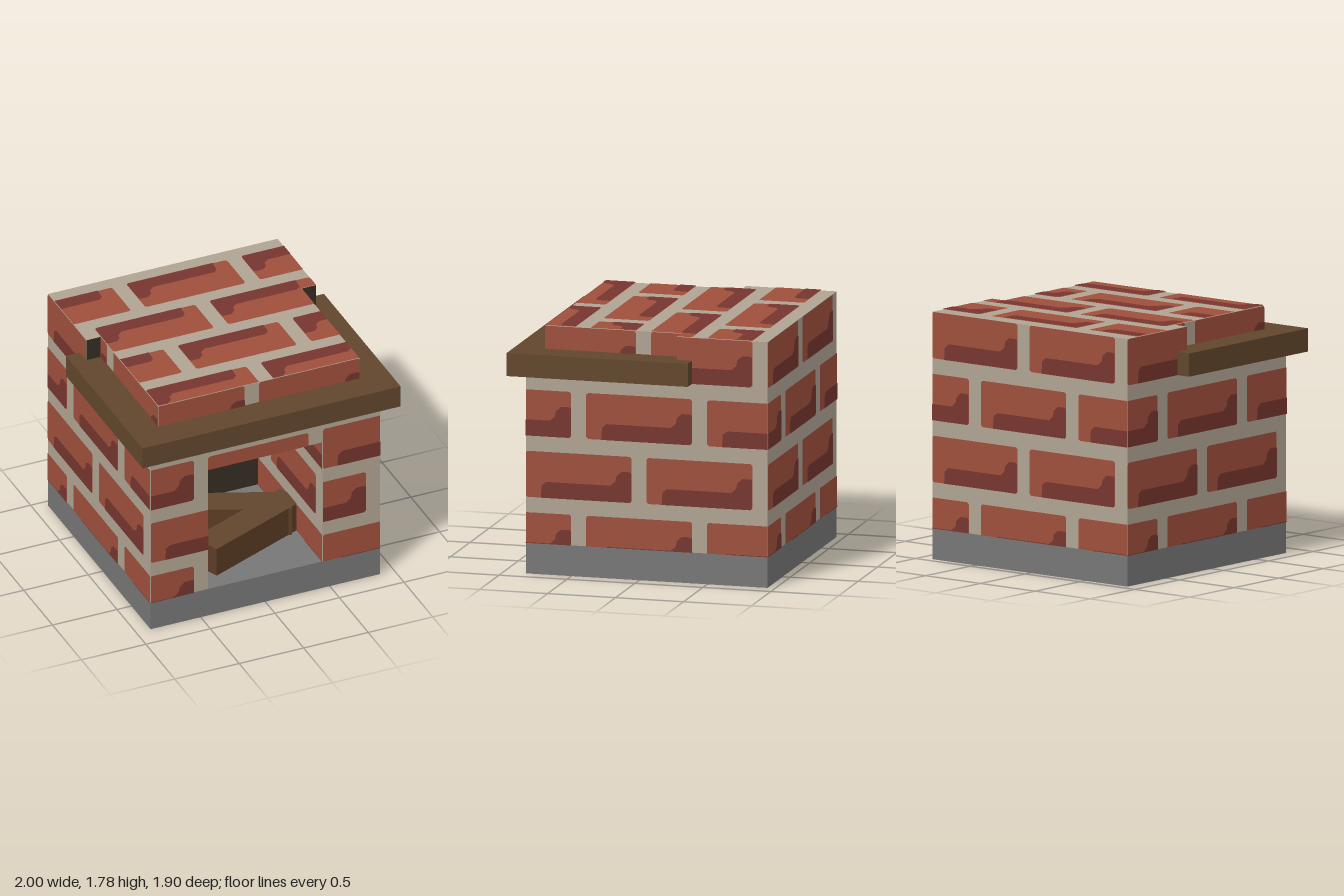
import * as THREE from 'three';
import { mergeGeometries } from 'three/addons/utils/BufferGeometryUtils.js';

const mat = (name, color) => {
  const m = new THREE.MeshStandardMaterial({ color });
  m.name = name;
  return m;
};

// Cuts a polygon to the rectangle [s0, s1, t0, t1]
function clip(points, [s0, s1, t0, t1]) {
  for (const [axis, limit, sign] of [[0, s0, 1], [0, s1, -1], [1, t0, 1], [1, t1, -1]]) {
    const out = [];
    points.forEach((p, i) => {
      const q = points[(i + 1) % points.length];
      const dp = sign * (p[axis] - limit), dq = sign * (q[axis] - limit);
      if (dp >= 0) out.push(p);
      if ((dp > 0 && dq < 0) || (dp < 0 && dq > 0)) {
        const k = dp / (dp - dq);
        out.push([p[0] + (q[0] - p[0]) * k, p[1] + (q[1] - p[1]) * k]);
      }
    });
    points = out;
  }
  return points;
}

// One brick (7 x 3) with clipped corners, and its L-shaped darker patch
const BRICK = [[0.12, 0], [6.88, 0], [7, 0.12], [7, 2.88], [6.88, 3], [0.12, 3], [0, 2.88], [0, 0.12]];
const PATCH = [[1, 0], [6.88, 0], [7, 0.12], [7, 1.9], [6.9, 2], [6.35, 2], [6, 1.7], [5.95, 1.35],
  [5.6, 1.05], [1.35, 1.05], [1.05, 0.8]];

export function createModel() {
  const mortar = mat('mortar', 0xb0a493);
  const brick = mat('brick', 0x9e4f3b);
  const darkBrick = mat('darkBrick', 0x76352e);
  const soot = mat('soot', 0x352d22);
  const stone = mat('stone', 0x767676);
  const oak = mat('oak', 0x61462c);
  const bark = mat('bark', 0x5c3d25);

  const model = new THREE.Group();
  const add = (parent, name, geometry, material, x = 0, y = 0, z = 0) => {
    const mesh = new THREE.Mesh(geometry, material);
    mesh.name = name;
    mesh.position.set(x, y, z);
    parent.add(mesh);
    return mesh;
  };

  // Flat brickwork: rectangles of a 16 x 16 running bond, placed by its lower left corner
  const X = new THREE.Vector3(1, 0, 0), Y = new THREE.Vector3(0, 1, 0), Z = new THREE.Vector3(0, 0, 1);
  const minus = (v) => v.clone().negate();
  function brickwork(name, right, up, origin, rects) {
    const layers = [[], [], []];
    const put = (layer, polygon) => {
      if (polygon.length < 3) return;
      const shape = new THREE.Shape(polygon.map((p) => new THREE.Vector2(p[0], p[1])));
      layers[layer].push(new THREE.ShapeGeometry(shape).translate(0, 0, layer * 0.03));
    };
    for (const rect of rects) {
      const [s0, s1, t0, t1] = rect;
      put(0, [[s0, t0], [s1, t0], [s1, t1], [s0, t1]]);
      for (let row = 0; row < 4; row++) {
        for (let col = 0; col < 3; col++) {
          const s = col * 8 - (row % 2 ? 0 : 4), t = row * 4 + 1;
          if (s >= s1 || s + 7 <= s0 || t >= t1 || t + 3 <= t0) continue;
          const place = (points) => clip(points.map((p) => [p[0] + s, p[1] + t]), rect);
          put(1, place(BRICK));
          put(2, place(PATCH));
        }
      }
    }
    const wall = new THREE.Group();
    wall.name = name;
    wall.quaternion.setFromRotationMatrix(
      new THREE.Matrix4().makeBasis(right, up, right.clone().cross(up)));
    wall.position.set(...origin);
    ['Mortar', 'Bricks', 'BrickPatches'].forEach((part, i) => {
      if (layers[i].length) add(wall, name + part, mergeGeometries(layers[i]), [mortar, brick, darkBrick][i]);
    });
    model.add(wall);
  }

  // Outer walls
  brickwork('frontWall', X, Y, [-8, 0, 7.5], [[0, 4, 2, 13], [12, 16, 2, 13], [4, 12, 11, 13]]);
  brickwork('leftWall', minus(Z), Y, [8, 0, 7.5], [[0, 16, 2, 13], [10, 16, 13, 16]]);
  brickwork('rightWall', Z, Y, [-8, 0, -8.5], [[0, 16, 2, 13], [0, 6, 13, 16]]);
  brickwork('backWall', minus(X), Y, [8, 0, -8.5], [[0, 16, 2, 16]]);

  // Chimney breast above the mantel
  brickwork('chimneyFront', X, Y, [-8, 0, 6.5], [[1, 15, 13, 16]]);
  brickwork('chimneyLeft', minus(Z), Y, [7, 0, 7.5], [[1, 10, 13, 16]]);
  brickwork('chimneyRight', Z, Y, [-7, 0, -8.5], [[6, 15, 13, 16]]);
  brickwork('chimneyTop', minus(X), Z, [8, 16, -8.5], [[0, 16, 0, 6], [1, 15, 6, 15]]);

  // Firebox lining
  brickwork('fireboxRightSide', minus(Z), Y, [-4, 0, 7.5], [[0, 10, 2, 11]]);
  brickwork('fireboxLeftSide', Z, Y, [4, 0, -8.5], [[6, 16, 2, 11]]);
  brickwork('fireboxCeiling', X, Z, [-8, 11, -8.5], [[4, 12, 6, 16]]);
  add(model, 'sootyBack', new THREE.PlaneGeometry(16, 14), soot, 0, 9, -2.5);

  // Hearth slab and mantel shelf
  add(model, 'hearth', new THREE.BoxGeometry(16, 2, 16), stone, 0, 1, -0.5);
  add(model, 'mantel', new THREE.BoxGeometry(18, 1.5, 12), oak, 0, 13.75, 2.5);

  // Two crossed logs with a charred spot on top
  const logSides = [bark, bark, oak, bark, bark, bark];
  [[0.46, 3.84, 1], [0.18, 1.37, -1]].forEach(([x, z, turn], i) => {
    const log = new THREE.Group();
    log.name = 'log' + (i + 1);
    log.position.set(x, 3 - i * 0.02, z);
    log.rotation.y = turn * Math.PI / 8;
    add(log, 'logBody', new THREE.BoxGeometry(8, 2, 2), logSides);
    add(log, 'charredSpot', new THREE.BoxGeometry(0.6, 0.04, 0.4), soot, -3.5, 1.01, -0.75);
    model.add(log);
  });

  model.scale.setScalar(1 / 9);
  const root = new THREE.Group();
  root.name = 'fireplace';
  root.add(model);
  return root;
}
